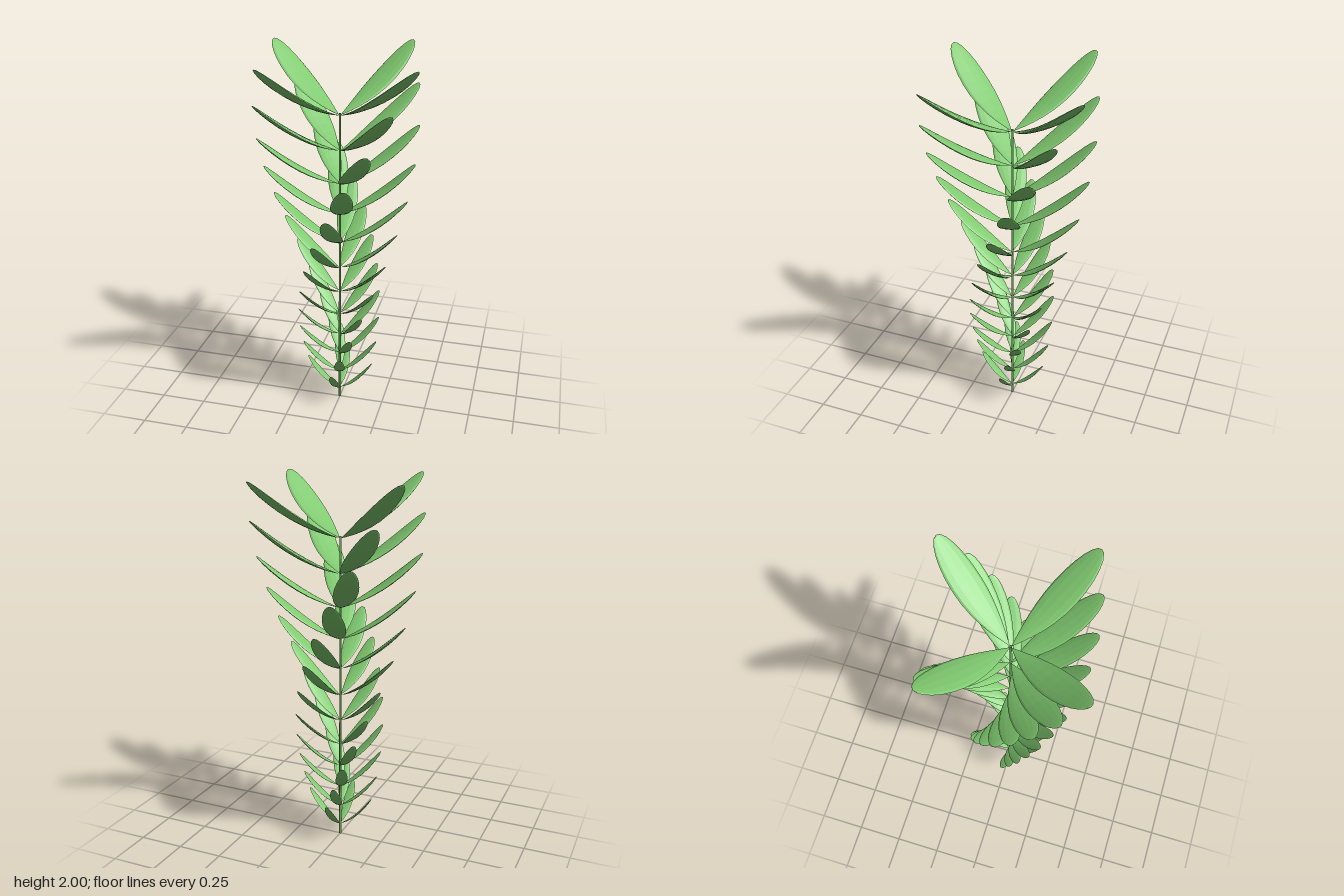
import * as THREE from 'three';

const leafGreen = new THREE.MeshStandardMaterial({ color: 0x80ca70, flatShading: true });
leafGreen.name = 'leafGreen';
const stemGreen = new THREE.MeshStandardMaterial({ color: 0x6fb060, side: THREE.DoubleSide });
stemGreen.name = 'stemGreen';

const stemRadius = 0.006;

// Closed, thin oval blade growing along +x from the stem and curving upward
function leafGeometry(length, rise) {
  const rings = 14, sides = 12;
  const positions = [], indices = [];
  const halfWidth = 0.148 * length, halfThick = 0.026 * length;
  for (let i = 0; i <= rings; i++) {
    const t = (1 - Math.cos((Math.PI * i) / rings)) / 2;
    // widest at 60% of the length, narrow base and round tip
    const w = t < 0.6
      ? Math.sin((Math.PI / 2) * (t / 0.6)) ** 0.95
      : Math.sqrt(Math.max(0, 1 - ((t - 0.6) / 0.4) ** 2));
    const x = stemRadius * 0.8 + length * t, y = rise * (0.52 * t + 0.48 * t * t);
    const slope = Math.atan2(rise * (0.52 + 0.96 * t), length);
    for (let j = 0; j < sides; j++) {
      const a = (j / sides) * Math.PI * 2;
      const up = Math.sin(a) * halfThick * w;
      positions.push(x - Math.sin(slope) * up, y + Math.cos(slope) * up, Math.cos(a) * halfWidth * w);
    }
  }
  for (let i = 0; i < rings; i++) {
    for (let j = 0; j < sides; j++) {
      const k = (j + 1) % sides;
      const a = i * sides + j, b = a + sides, c = (i + 1) * sides + k, d = i * sides + k;
      if (i < rings - 1) indices.push(a, b, c);
      else indices.push(a, b, d);
      if (i > 0 && i < rings - 1) indices.push(a, c, d);
    }
  }
  const geometry = new THREE.BufferGeometry();
  geometry.setAttribute('position', new THREE.Float32BufferAttribute(positions, 3));
  geometry.setIndex(indices);
  geometry.computeVertexNormals();
  return geometry;
}

export function createModel() {
  const plant = new THREE.Group();
  plant.name = 'leafyStalk';

  // Slender hollow stem
  const stem = new THREE.Mesh(
    new THREE.CylinderGeometry(stemRadius * 0.9, stemRadius * 1.15, 1.7, 8, 1, true), stemGreen);
  stem.name = 'stem';
  stem.position.y = 0.85;
  plant.add(stem);

  // Whorls of four leaves, growing larger and turning a little at each step
  const baseHeights = [0.065, 0.18, 0.3, 0.425, 0.555, 0.695, 0.84, 0.99, 1.155, 1.325, 1.505, 1.69];
  const tipHeights = [0.25, 0.37, 0.5, 0.64, 0.78, 0.93, 1.09, 1.25, 1.425, 1.605, 1.8, 2.0];
  const turn = THREE.MathUtils.degToRad(13.3);
  baseHeights.forEach((base, i) => {
    const whorl = new THREE.Group();
    whorl.name = `leafWhorl${i + 1}`;
    whorl.position.y = base;
    whorl.rotation.y = i * turn;
    const geometry = leafGeometry(0.183 * 1.0985 ** i, tipHeights[i] - base);
    for (let n = 0; n < 4; n++) {
      const leaf = new THREE.Mesh(geometry, leafGreen);
      leaf.name = 'leaf';
      leaf.rotation.y = (n * Math.PI) / 2;
      whorl.add(leaf);
    }
    plant.add(whorl);
  });
  return plant;
}
